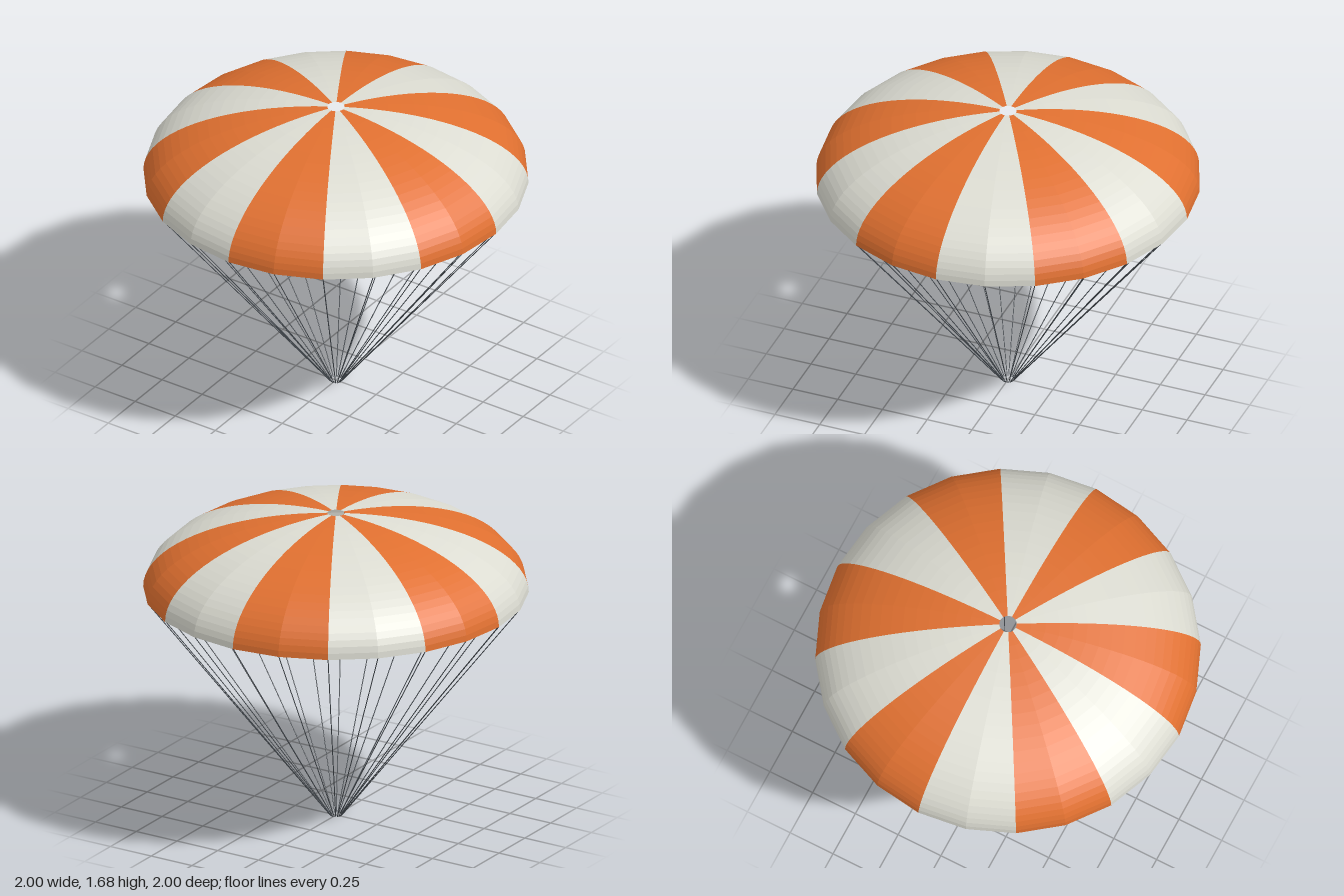
import * as THREE from 'three';

const GORES = 12, LINES = 24;
const RADIUS = 1, SKIRT_Y = 1.26, CROWN = 0.425, VENT = 0.045, KNOT = 0.03;

function material(name, color, options = {}) {
  const m = new THREE.MeshStandardMaterial({ color, ...options });
  m.name = name;
  return m;
}

export function createModel() {
  const model = new THREE.Group();
  model.name = 'parachute';
  const cloth = { side: THREE.DoubleSide, flatShading: true };
  const orange = material('orange cloth', 0xe07030, cloth);
  const white = material('off-white cloth', 0xdcdcd2, cloth);
  const cord = material('dark cord', 0x444a50);

  // Canopy: quarter-ellipse profile from skirt up to the open vent
  const rings = 20, end = Math.acos(VENT / RADIUS);
  const profile = [];
  for (let i = 0; i <= rings; i++) {
    const t = (i / rings) * end;
    profile.push(new THREE.Vector2(RADIUS * Math.cos(t), SKIRT_Y + CROWN * Math.sin(t)));
  }
  const canopy = new THREE.Group();
  canopy.name = 'canopy';
  const step = (Math.PI * 2) / GORES;
  for (let i = 0; i < GORES; i++) {
    const gore = new THREE.Mesh(
      new THREE.LatheGeometry(profile, 2, i * step, step), i % 2 ? white : orange);
    gore.name = 'gore';
    canopy.add(gore);
  }
  model.add(canopy);

  // Suspension lines: from the skirt down to a small ring of ends
  const lines = new THREE.Group();
  lines.name = 'suspensionLines';
  const up = new THREE.Vector3(0, 1, 0);
  for (let i = 0; i < LINES; i++) {
    const a = (i / LINES) * Math.PI * 2;
    const top = new THREE.Vector3(Math.sin(a) * 0.995, SKIRT_Y, Math.cos(a) * 0.995);
    const foot = new THREE.Vector3(Math.sin(a) * KNOT, 0.002, Math.cos(a) * KNOT);
    const span = top.clone().sub(foot);
    const line = new THREE.Mesh(
      new THREE.CylinderGeometry(0.0025, 0.0025, span.length(), 6), cord);
    line.position.copy(foot).addScaledVector(span, 0.5);
    line.quaternion.setFromUnitVectors(up, span.normalize());
    line.name = 'suspensionLine';
    lines.add(line);
  }
  model.add(lines);
  return model;
}
